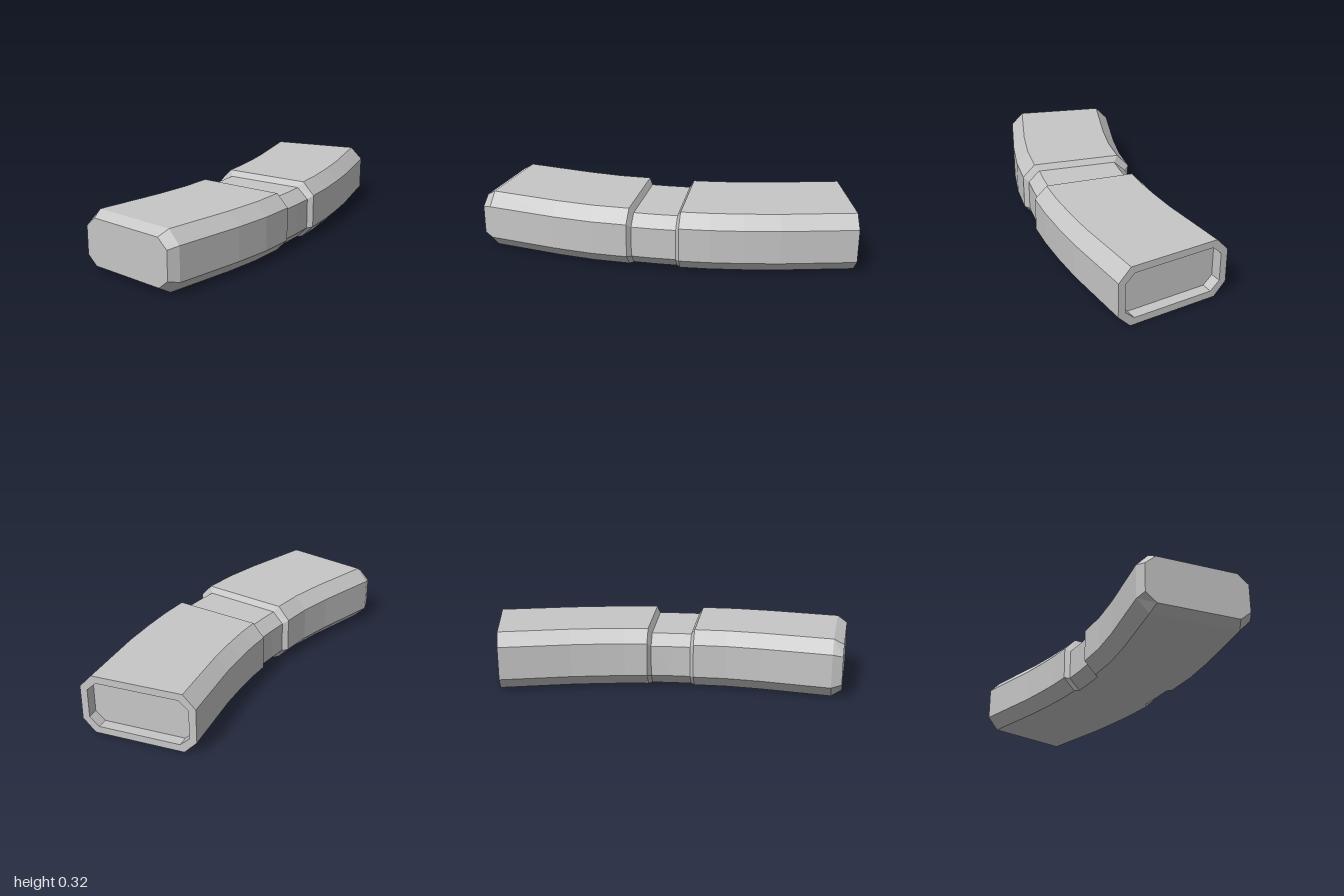
import * as THREE from 'three';

// Octagonal cross-section: half width, bottom, lower corner, upper corner, top, corner cut
const ring = (w, y0, y1, y2, y3, c) => [
  [w, y1], [w, y2], [w - c, y3], [c - w, y3], [-w, y2], [-w, y1], [c - w, y0], [w - c, y0],
];
const FULL = ring(0.308, 0, 0.068, 0.251, 0.32, 0.066);
const WAIST = ring(0.281, 0, 0.062, 0.23, 0.288, 0.062);
const CAP = ring(0.283, 0.033, 0.082, 0.237, 0.288, 0.06);
const MOUTH = ring(0.27, 0.038, 0.084, 0.236, 0.282, 0.05);

// Station on the bent centre line: profile, centre x and z, turn in degrees, shift along the body
function station(profile, cx, cz, deg, shift = 0) {
  const a = THREE.MathUtils.degToRad(deg), s = Math.sin(a), c = Math.cos(a);
  return profile.map(([u, y]) => [cx + u * c - shift * s, y, cz + u * s + shift * c]);
}

// Skin a run of stations, closing the first or last ring where asked
function loft(stations, closeStart, closeEnd) {
  const pos = [];
  const n = 8;
  const tri = (a, b, c) => pos.push(...a, ...b, ...c);
  for (let s = 0; s < stations.length - 1; s++) {
    const p = stations[s], q = stations[s + 1];
    for (let i = 0; i < n; i++) {
      const j = (i + 1) % n;
      tri(p[i], p[j], q[j]);
      tri(p[i], q[j], q[i]);
    }
  }
  const first = stations[0], last = stations[stations.length - 1];
  for (let i = 1; i < n - 1; i++) {
    if (closeStart) tri(first[0], first[i + 1], first[i]);
    if (closeEnd) tri(last[0], last[i], last[i + 1]);
  }
  const geo = new THREE.BufferGeometry();
  geo.setAttribute('position', new THREE.Float32BufferAttribute(pos, 3));
  geo.computeVertexNormals();
  return geo;
}

export function createModel() {
  const group = new THREE.Group();
  group.name = 'curvedCase';
  const grey = new THREE.MeshStandardMaterial({ color: 0xc6c6c6, flatShading: true });
  grey.name = 'lightGrey';
  const add = (name, geo) => {
    const mesh = new THREE.Mesh(geo, grey);
    mesh.name = name;
    group.add(mesh);
  };

  // Ends of the waist, shared with the neighbouring parts
  const waistBack = station(WAIST, 0.135, -0.13, 12.3, 0.02);
  const waistFront = station(WAIST, 0.075, 0.13, 14.7, -0.02);

  // Shallow open recess and rim at the back
  add('mouthRecess', loft([
    station(MOUTH, 0.179, -1, 0, 0.06),
    station(MOUTH, 0.179, -1, 0),
    station(FULL, 0.179, -1, 0),
  ], true, false));

  // Back half, ending in a bevelled step
  add('rearBody', loft([
    station(FULL, 0.179, -1, 0),
    station(FULL, 0.181, -0.6, 1.5),
    station(FULL, 0.172, -0.43, 5),
    station(FULL, 0.157, -0.27, 8.7),
    station(FULL, 0.135, -0.13, 12.3),
    waistBack,
  ], false, false));

  // Narrow waist, flush underneath
  add('waist', loft([waistBack, station(WAIST, 0.108, 0, 13.5), waistFront], false, false));

  // Front half with a bevelled end cap
  add('frontBody', loft([
    waistFront,
    station(FULL, 0.075, 0.13, 14.7),
    station(FULL, 0.027, 0.31, 17),
    station(FULL, -0.045, 0.5, 19),
    station(FULL, -0.2025, 0.853, 19.8),
    station(CAP, -0.2055, 0.853, 19.8, 0.054),
  ], false, true));

  return group;
}
